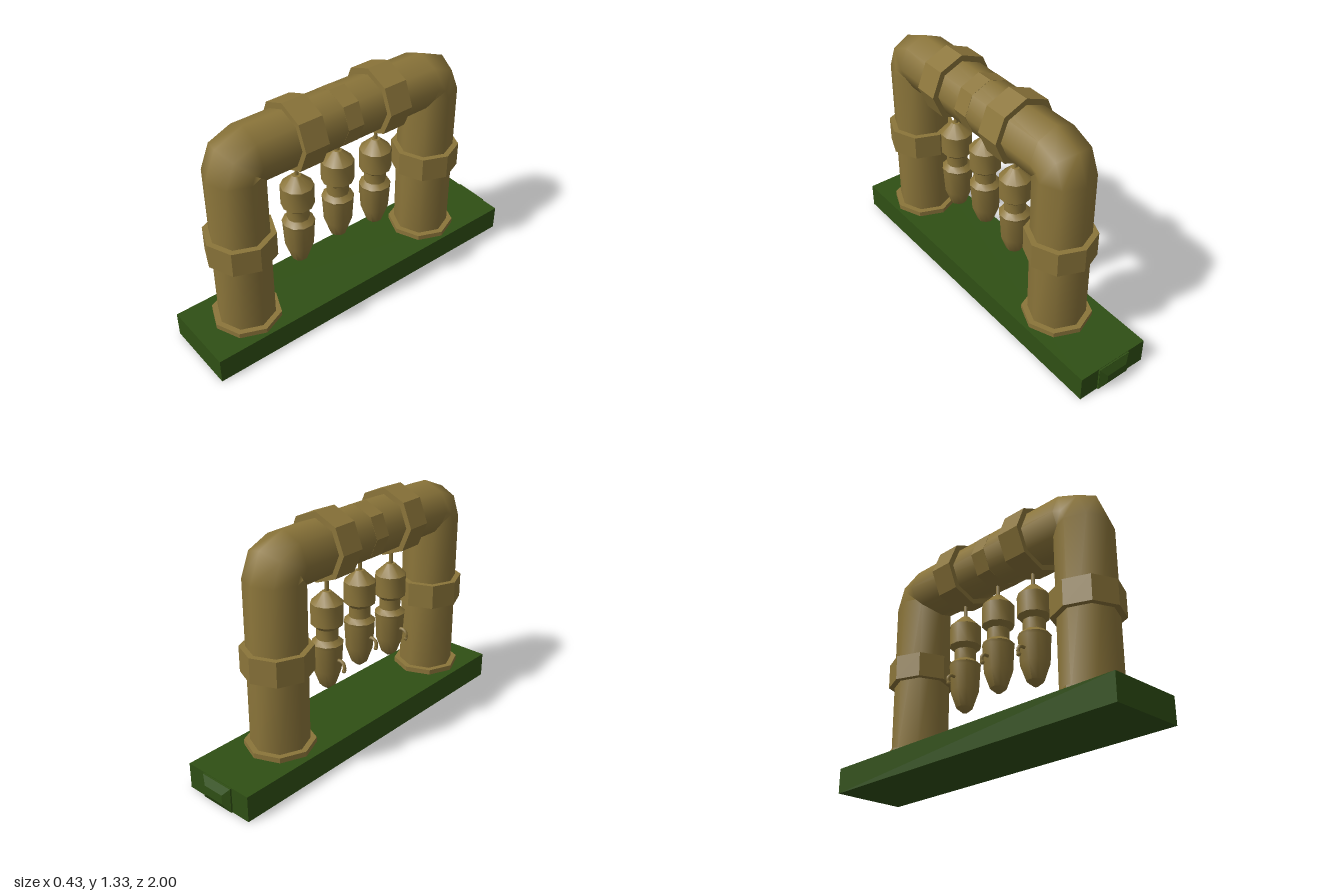
import * as THREE from 'three';
import { toCreasedNormals } from 'three/addons/utils/BufferGeometryUtils.js';

const brass = new THREE.MeshStandardMaterial({ color: 0x8b753a });
const green = new THREE.MeshStandardMaterial({ color: 0x2f4f14 });
const SIDES = 8, CX = 0.006, R = 0.156, AXIS_Y = 1.14;

function add(parent, name, geometry, material = brass) {
  const mesh = new THREE.Mesh(geometry, material);
  mesh.name = name;
  parent.add(mesh);
  return mesh;
}

// Octagonal rings swept through [z, y, tilt] stations in the x = CX plane
function sweptPipe(stations, radius) {
  const pos = [], index = [];
  stations.forEach(([z, y, tilt]) => {
    for (let i = 0; i < SIDES; i++) {
      const a = (i / SIDES) * Math.PI * 2;
      const out = Math.cos(a) * radius;
      pos.push(CX + Math.sin(a) * radius, y + out * Math.sin(tilt), z + out * Math.cos(tilt));
    }
  });
  for (let s = 0; s < stations.length - 1; s++) {
    for (let i = 0; i < SIDES; i++) {
      const j = (i + 1) % SIDES;
      const a = s * SIDES + i, b = s * SIDES + j;
      index.push(a, b, b + SIDES, a, b + SIDES, a + SIDES);
    }
  }
  const g = new THREE.BufferGeometry();
  g.setAttribute('position', new THREE.Float32BufferAttribute(pos, 3));
  g.setIndex(index);
  g.computeVertexNormals();
  return g;
}

// Flat-sided octagonal band with a corner on each axis
const band = (radius, length) =>
  toCreasedNormals(new THREE.CylinderGeometry(radius, radius, length, SIDES), 0.5);

// Hanging lantern with its cord and a small side hook
function lantern() {
  const group = new THREE.Group();
  group.name = 'lantern';
  const profile = [
    [0, 0.322], [0.012, 0.323], [0.045, 0.35], [0.077, 0.44], [0.085, 0.58], [0.088, 0.597],
    [0.06, 0.622], [0.06, 0.682], [0.088, 0.707], [0.088, 0.825], [0.024, 0.887], [0, 0.888],
  ].map(([r, y]) => new THREE.Vector2(r, y));
  add(group, 'lanternBody', toCreasedNormals(new THREE.LatheGeometry(profile, 10), 0.68));

  add(group, 'lanternCord', new THREE.CylinderGeometry(0.011, 0.011, 0.16, 6)).position.y = 0.95;

  const curve = new THREE.CatmullRomCurve3([
    new THREE.Vector3(-0.07, 0.51, 0), new THREE.Vector3(-0.105, 0.51, 0),
    new THREE.Vector3(-0.122, 0.49, 0), new THREE.Vector3(-0.118, 0.465, 0),
  ]);
  add(group, 'lanternHook', new THREE.TubeGeometry(curve, 6, 0.01, 5));
  add(group, 'hookTip', new THREE.SphereGeometry(0.013, 6, 4)).position.set(-0.118, 0.462, 0);
  return group;
}

export function createModel() {
  const model = new THREE.Group();
  model.name = 'pipeArch';

  // Base slab
  add(model, 'base', new THREE.BoxGeometry(0.426, 0.143, 1.968), green).position.set(0, 0.0715, 0.016);

  // Bevelled block on the back end of the base
  const block = new THREE.BoxGeometry(0.2, 0.138, 0.024);
  const p = block.attributes.position;
  for (let i = 0; i < p.count; i++) {
    if (p.getZ(i) < 0) p.setXYZ(i, p.getX(i) * 0.62, p.getY(i) * 0.38, p.getZ(i));
  }
  block.computeVertexNormals();
  add(model, 'endBlock', block, green).position.set(0, 0.0715, -0.988);
  add(model, 'endBlockRoot', new THREE.BoxGeometry(0.2, 0.138, 0.02), green).position.set(0, 0.0715, -0.967);

  // Arched pipe: front column, bend, crossbar, bend, back column
  const bend = 0.07, bendY = AXIS_Y - bend, frontZ = 0.63, backZ = -0.465;
  const stations = [[frontZ + bend, 0.14, 0], [frontZ + bend, bendY, 0]];
  for (const [z, start] of [[frontZ, 0], [backZ, Math.PI / 2]]) {
    for (let i = 0; i <= 2; i++) {
      const t = start + (i * Math.PI) / 4;
      stations.push([z + bend * Math.cos(t), bendY + bend * Math.sin(t), t]);
    }
  }
  stations.splice(1, 1);
  stations.push([backZ - bend, 0.14, Math.PI]);
  add(model, 'pipe', sweptPipe(stations, R));

  // Foot flange and collar on each column
  for (const z of [frontZ + bend, backZ - bend]) {
    add(model, 'footFlange', band(0.188, 0.03)).position.set(CX, 0.157, z);
    add(model, 'columnCollar', band(0.188, 0.14)).position.set(CX, 0.642, z);
  }

  // Collars on the crossbar, and the thin flush band between them
  for (const z of [0.343, -0.179]) {
    const collar = add(model, 'barCollar', band(0.188, 0.138));
    collar.rotation.x = Math.PI / 2;
    collar.position.set(CX, AXIS_Y + 0.002, z);
  }
  const middle = add(model, 'middleBand', band(R + 0.001, 0.095));
  middle.rotation.x = Math.PI / 2;
  middle.position.set(CX, AXIS_Y, 0.085);

  // Three lanterns, the middle one hung higher
  for (const [z, lift] of [[0.345, 0], [0.085, 0.038], [-0.172, 0]]) {
    const hanging = lantern();
    hanging.position.set(CX, lift, z);
    model.add(hanging);
  }
  return model;
}
